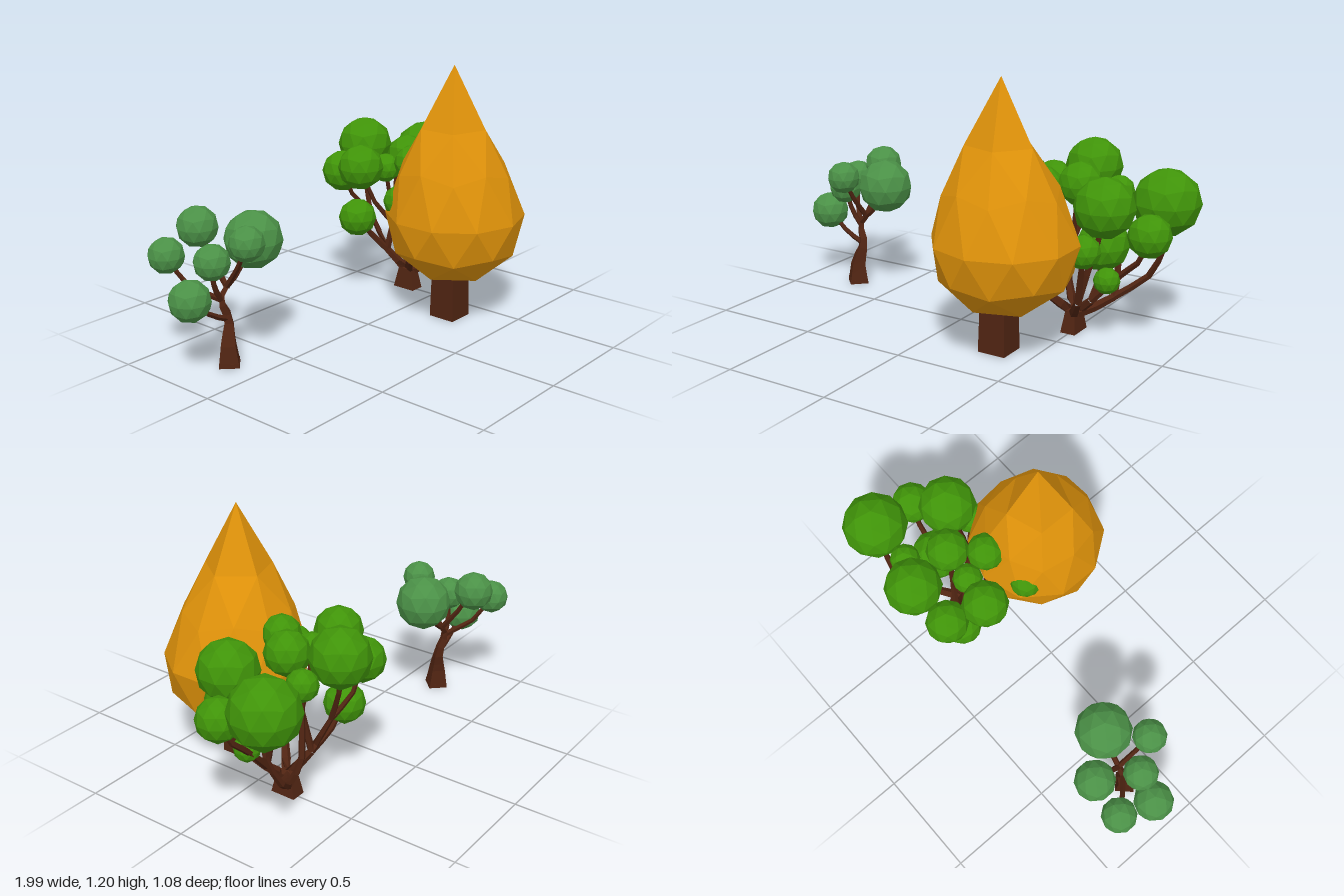
import * as THREE from 'three';

const mat = (color) => new THREE.MeshStandardMaterial({ color, flatShading: true });
const bark = mat(0x502412);
const amber = mat(0xdf920a);
const leafGreen = mat(0x409409);
const sageGreen = mat(0x4b9147);

function add(parent, name, geometry, material) {
  const mesh = new THREE.Mesh(geometry, material);
  mesh.name = name;
  parent.add(mesh);
  return mesh;
}

function group(parent, name) {
  const g = new THREE.Group();
  g.name = name;
  parent.add(g);
  return g;
}

// Low-poly ball with a vertex at each pole and one ring vertex towards +x
function ball(r) {
  const g = new THREE.IcosahedronGeometry(1, 1);
  g.rotateZ(-Math.atan(2 / (1 + Math.sqrt(5))));
  return g.scale(r, r, r);
}

// Tapered limb through points, radius interpolated along its length
function limb(points, radii, sides = 5) {
  const curve = new THREE.CatmullRomCurve3(points.map((p) => new THREE.Vector3(...p)), false, 'catmullrom', 0.25);
  const steps = (points.length - 1) * 2;
  const g = new THREE.TubeGeometry(curve, steps, 1, sides, false);
  const pos = g.attributes.position;
  const v = new THREE.Vector3();
  for (let i = 0; i <= steps; i++) {
    const centre = curve.getPointAt(i / steps);
    const t = (i / steps) * (radii.length - 1);
    const k = Math.min(Math.floor(t), radii.length - 2);
    const r = THREE.MathUtils.lerp(radii[k], radii[k + 1], t - k);
    for (let j = 0; j <= sides; j++) {
      const n = i * (sides + 1) + j;
      v.fromBufferAttribute(pos, n).sub(centre).multiplyScalar(r).add(centre);
      pos.setXYZ(n, v.x, v.y, v.z);
    }
  }
  return g;
}

// Leaf balls given as [x, y, z, radius]
function foliage(parent, balls, material) {
  const crown = group(parent, 'foliage');
  for (const [x, y, z, r] of balls) add(crown, 'leafBall', ball(r), material).position.set(x, y, z);
}

function limbs(parent, paths, r0, r1) {
  const g = group(parent, 'branches');
  for (const path of paths) add(g, 'branch', limb(path, [r0, r1]), bark);
}

// Four-sided tapered post with faces square to the axes
function post(rTop, rBottom, height) {
  const g = new THREE.CylinderGeometry(rTop, rBottom, height, 4);
  return g.rotateY(Math.PI / 4).translate(0, height / 2, 0);
}

// Teardrop tree: ball stretched upward into a point
function teardropTree(parent) {
  const tree = group(parent, 'teardropTree');
  add(tree, 'trunk', post(0.085, 0.093, 0.26), bark).position.set(0.335, 0, 0.22);

  const crown = ball(1);
  const pos = crown.attributes.position;
  for (let i = 0; i < pos.count; i++) {
    const y = pos.getY(i);
    let h = y * 0.33;
    let r = y < -0.1 ? 0.332 : 0.322;
    if (y > 0.95) h = 0.695;
    else if (y > 0.7) [h, r] = [0.41, 0.29];
    else if (y > 0.1) [h, r] = [y * 0.44, 0.288];
    const lean = y > 0.1 ? -0.025 * Math.min(1, y * 1.3) : 0;
    pos.setXYZ(i, pos.getX(i) * r + lean, h, pos.getZ(i) * r);
  }
  add(tree, 'crown', crown, amber).position.set(0.36, 0.5, 0.22);
}

// Spreading tree: short trunk with many forked branches
function spreadingTree(parent) {
  const tree = group(parent, 'spreadingTree');
  const top = [0.5, 0.08, -0.16];
  const trunk = post(0.044, 0.068, 0.1).scale(0.75, 1, 1.25);
  add(tree, 'trunk', trunk, bark).position.set(0.5, 0, -0.162);

  const frontFork = [0.59, 0.19, -0.02];
  const backFork = [0.64, 0.15, -0.28];
  const sideFork = [0.6, 0.17, -0.13];
  const innerFork = [0.43, 0.2, -0.24];
  const leftFork = [0.41, 0.18, -0.08];
  const backHub = [0.41, 0.38, -0.33];
  const leftHub = [0.34, 0.36, -0.1];
  limbs(tree, [
    [top, [0.54, 0.12, -0.09], frontFork],
    [top, [0.56, 0.1, -0.21], backFork],
    [top, sideFork],
    [top, innerFork],
    [top, leftFork],
  ], 0.025, 0.018);
  limbs(tree, [
    [frontFork, [0.62, 0.33, 0.02], [0.65, 0.46, 0.06]],
    [frontFork, [0.64, 0.35, -0.01], [0.68, 0.5, -0.025], [0.7, 0.62, -0.03]],
    [backFork, [0.77, 0.25, -0.35], [0.85, 0.4, -0.335], [0.855, 0.6, -0.335]],
    [backFork, [0.63, 0.28, -0.34], [0.61, 0.45, -0.33], [0.62, 0.63, -0.34]],
    [sideFork, [0.72, 0.3, -0.14], [0.83, 0.4, -0.13], [0.87, 0.52, -0.115]],
    [sideFork, [0.62, 0.28, -0.17], [0.62, 0.42, -0.18]],
    [innerFork, [0.36, 0.29, -0.29], [0.28, 0.4, -0.305]],
    [innerFork, backHub],
    [innerFork, [0.46, 0.4, -0.21], [0.5, 0.66, -0.18]],
    [leftFork, leftHub],
  ], 0.017, 0.011);
  limbs(tree, [
    [backHub, [0.44, 0.53, -0.39], [0.46, 0.7, -0.41]],
    [backHub, [0.33, 0.48, -0.38], [0.265, 0.61, -0.385]],
    [[0.46, 0.4, -0.21], [0.4, 0.5, -0.2], [0.355, 0.64, -0.19]],
    [leftHub, [0.25, 0.5, -0.17], [0.195, 0.67, -0.215]],
    [leftHub, [0.37, 0.5, -0.08], [0.385, 0.67, -0.06]],
    [leftHub, [0.21, 0.54, 0.02]],
  ], 0.013, 0.009);

  foliage(tree, [
    [0.85, 0.61, -0.335, 0.153], [0.46, 0.71, -0.41, 0.132],
    [0.7, 0.635, -0.025, 0.135], [0.87, 0.515, -0.115, 0.097],
    [0.265, 0.615, -0.385, 0.1], [0.2, 0.675, -0.215, 0.108],
    [0.62, 0.63, -0.34, 0.07], [0.355, 0.645, -0.19, 0.07],
    [0.508, 0.68, -0.178, 0.1], [0.625, 0.42, -0.18, 0.118],
    [0.388, 0.685, -0.055, 0.087], [0.2, 0.555, 0.02, 0.075],
    [0.65, 0.455, 0.06, 0.075], [0.685, 0.287, -0.1, 0.06],
    [0.28, 0.39, -0.305, 0.092], [0.4, 0.29, 0.03, 0.06],
  ], leafGreen);
}

// Small tree: winding trunk with a few branches
function smallTree(parent) {
  const tree = group(parent, 'smallTree');
  add(tree, 'trunkFoot', new THREE.CylinderGeometry(0.06, 0.063, 0.02, 4), bark).position.set(-0.722, 0.01, -0.165);
  add(tree, 'trunk', limb([
    [-0.722, 0, -0.165], [-0.722, 0.1, -0.168], [-0.698, 0.2, -0.185],
    [-0.73, 0.29, -0.2], [-0.69, 0.34, -0.2],
  ], [0.062, 0.045, 0.027, 0.019, 0.014], 4), bark);

  const crook = [-0.725, 0.29, -0.2];
  const tip = [-0.69, 0.34, -0.2];
  limbs(tree, [
    [[-0.7, 0.2, -0.185], [-0.8, 0.245, -0.185], [-0.91, 0.345, -0.185]],
    [tip, [-0.63, 0.39, -0.19], [-0.555, 0.51, -0.175]],
    [tip, [-0.69, 0.44, -0.28], [-0.7, 0.58, -0.36]],
    [tip, [-0.7, 0.44, -0.12], [-0.71, 0.56, -0.05]],
    [crook, [-0.77, 0.36, -0.19], [-0.795, 0.48, -0.17]],
    [crook, [-0.82, 0.36, -0.3], [-0.87, 0.48, -0.37]],
  ], 0.014, 0.009);

  foliage(tree, [
    [-0.55, 0.52, -0.175, 0.13], [-0.908, 0.342, -0.187, 0.092],
    [-0.793, 0.482, -0.172, 0.08], [-0.868, 0.488, -0.37, 0.08],
    [-0.698, 0.575, -0.362, 0.092], [-0.708, 0.568, -0.05, 0.078],
  ], sageGreen);
}

export function createModel() {
  const model = new THREE.Group();
  model.name = 'treeGroup';
  teardropTree(model);
  spreadingTree(model);
  smallTree(model);
  return model;
}
